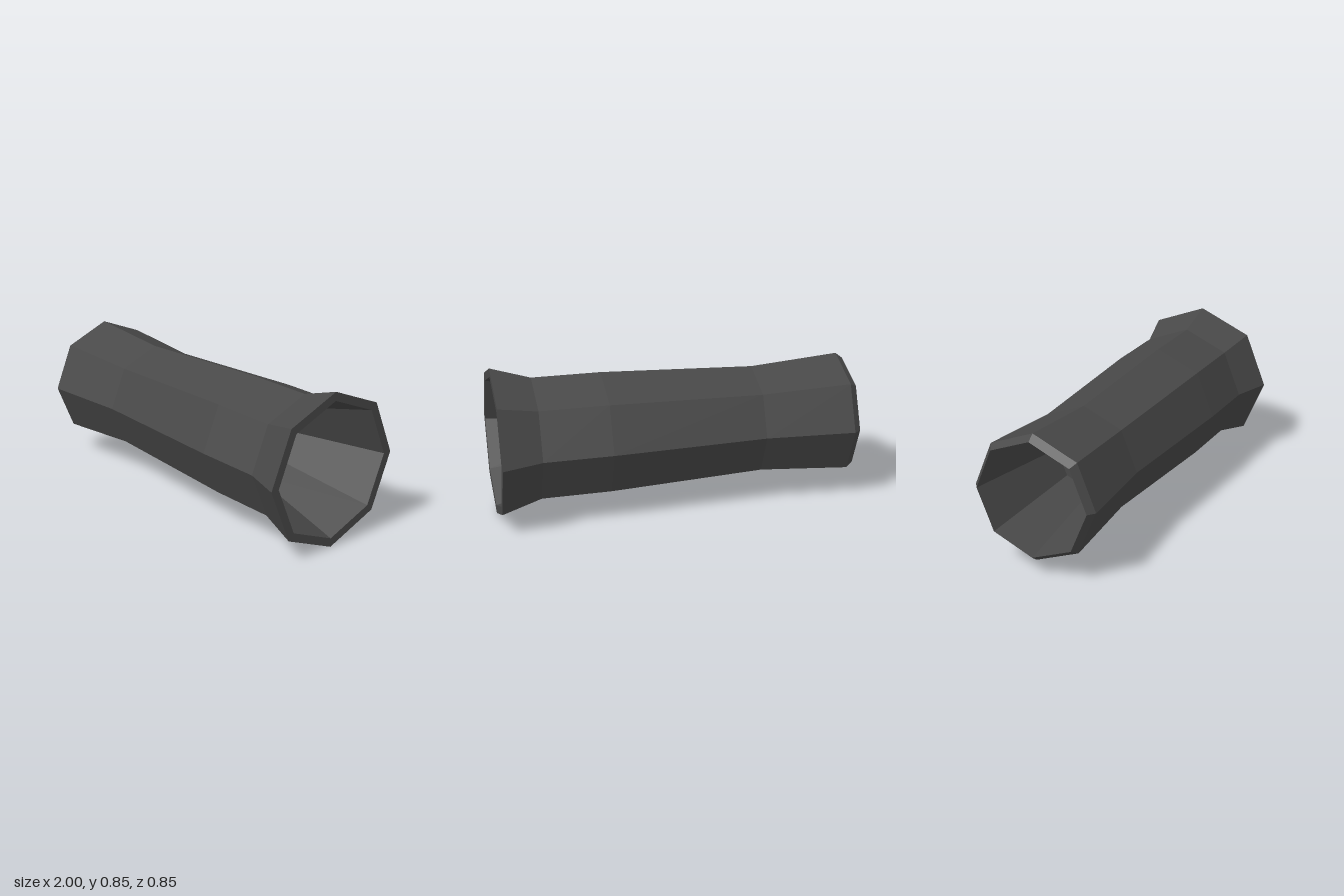
import * as THREE from 'three';

const SIDES = 8;
const AXIS_HEIGHT = 0.423;

export function createModel() {
  const group = new THREE.Group();
  group.name = 'octagonalTube';

  const darkGrey = new THREE.MeshStandardMaterial({ color: 0x484848 });
  darkGrey.name = 'darkGrey';

  // Faceted ring surface around the x axis from [x, radius] pairs
  function addTurned(name, profile) {
    const points = profile.map(([x, r]) => new THREE.Vector2(r, x));
    const geometry = new THREE.LatheGeometry(points, SIDES).toNonIndexed();
    geometry.rotateZ(-Math.PI / 2);
    geometry.computeVertexNormals();
    const mesh = new THREE.Mesh(geometry, darkGrey);
    mesh.name = name;
    mesh.position.y = AXIS_HEIGHT;
    group.add(mesh);
  }

  // Outer body with a waist
  addTurned('body', [[-0.96, 0.353], [-0.46, 0.315], [0.4, 0.352], [0.78, 0.353]]);

  // Bevel around the narrow end
  addTurned('narrowBevel', [[-1, 0.322], [-0.96, 0.353]]);

  // Flared end with its flat rim
  addTurned('flare', [[0.78, 0.353], [1, 0.423]]);
  addTurned('flareRim', [[1, 0.423], [1, 0.375]]);

  // Tapered sockets, each closed by a flat floor
  addTurned('flareSocket', [[1, 0.375], [0.4, 0.207], [0.4, 0]]);
  addTurned('narrowSocket', [[-0.4, 0], [-0.4, 0.207], [-1, 0.322]]);

  return group;
}
